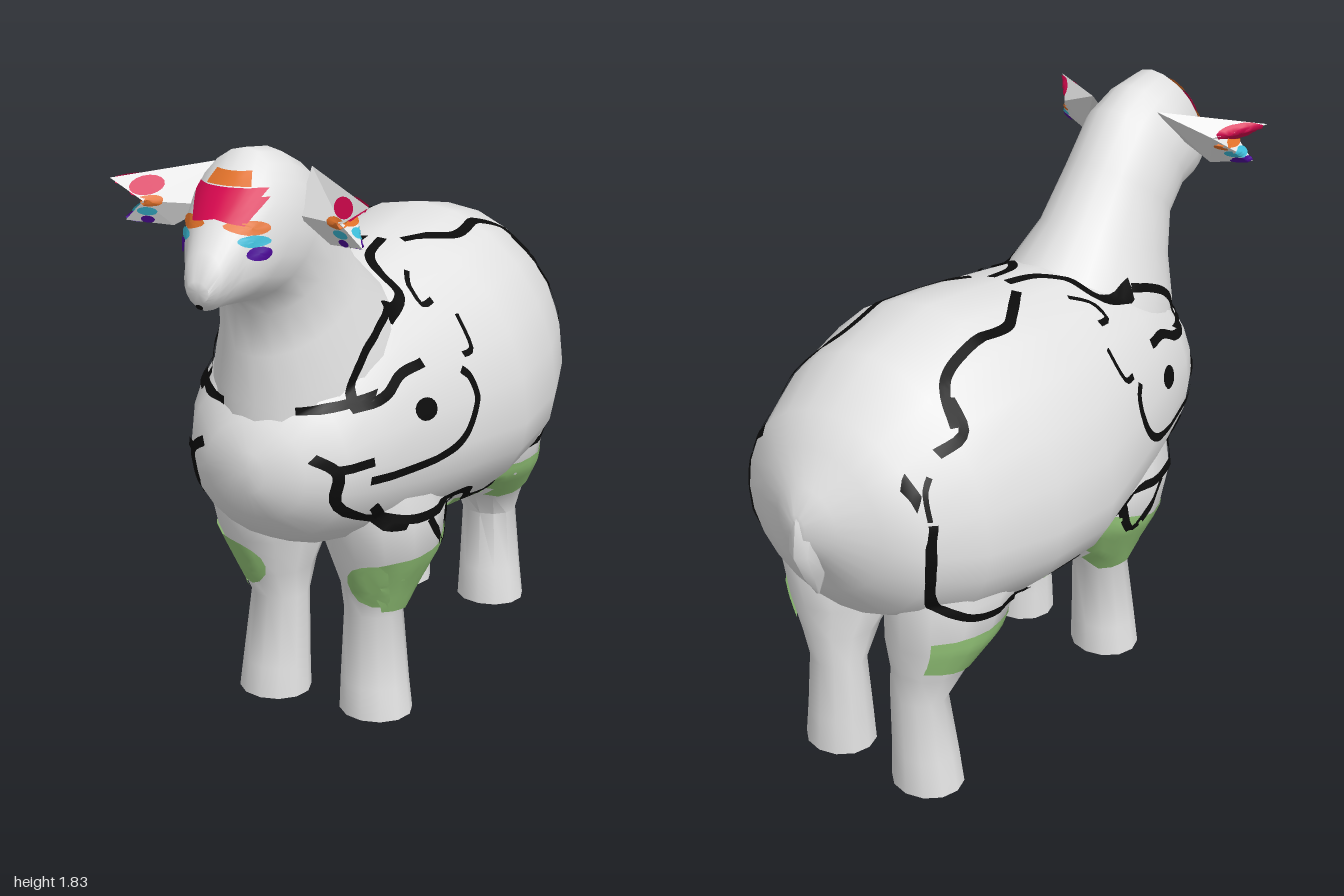
import * as THREE from 'three';
import { toCreasedNormals } from 'three/addons/utils/BufferGeometryUtils.js';

const paint = (name, color, double = true) => {
  const m = new THREE.MeshStandardMaterial({ color });
  m.name = name;
  if (double) m.side = THREE.DoubleSide;
  return m;
};

// Skin through oval rings, swept upward or forward.
// Ring: [z, y of top/back point, z, y of bottom/front point, half width, widest fraction from bottom]
function loft(rings, cx = 0, sides = 18) {
  const pos = [], idx = [];
  const first = rings[0], last = rings[rings.length - 1];
  const all = [[...first], ...rings, [...last]];
  for (const end of [all[0], all[all.length - 1]]) {
    const z = (end[0] + end[2]) / 2, y = (end[1] + end[3]) / 2;
    end.splice(0, 5, z, y, z, y, 0);
  }
  all.forEach(([zt, yt, zb, yb, w, m = 0.5, x = cx]) => {
    const zm = zb + (zt - zb) * m, ym = yb + (yt - yb) * m;
    for (let j = 0; j < sides; j++) {
      const a = (j / sides) * Math.PI * 2, s = Math.sin(a), k = Math.abs(s);
      pos.push(x + w * Math.cos(a),
        ym + ((s > 0 ? yt : yb) - ym) * k, zm + ((s > 0 ? zt : zb) - zm) * k);
    }
  });
  for (let i = 0; i < all.length - 1; i++) for (let j = 0; j < sides; j++) {
    const a = i * sides + j, b = i * sides + (j + 1) % sides;
    if (i > 0) idx.push(a, b, a + sides);
    if (i < all.length - 2) idx.push(b, b + sides, a + sides);
  }
  const g = new THREE.BufferGeometry();
  g.setAttribute('position', new THREE.Float32BufferAttribute(pos, 3));
  g.setIndex(idx);
  return toCreasedNormals(g, 0.9);
}

export function createModel() {
  const group = new THREE.Group();
  group.name = 'sheep';
  const wool = paint('wool', 0xe4e4e4, false), earSkin = paint('earSkin', 0xe4e4e4);
  const black = paint('blackLine', 0x0c0c0c), green = paint('green', 0x96c87a);
  const crimson = paint('crimson', 0xd8084f), orange = paint('orange', 0xe2722a);
  const cyan = paint('cyan', 0x3cbcd8), purple = paint('purple', 0x4e0a9a);
  const add = (name, geo, mat) => {
    const mesh = new THREE.Mesh(geo, mat);
    mesh.name = name;
    group.add(mesh);
    return mesh;
  };

  // Body: z, top, bottom, half width, height of widest point
  const body = add('body', loft([
    [-0.98, 1.02, 0.93, 0.03, 0.98], [-0.94, 1.09, 0.86, 0.11, 0.98],
    [-0.88, 1.18, 0.74, 0.225, 0.95],
    [-0.82, 1.265, 0.64, 0.335, 0.92], [-0.65, 1.375, 0.54, 0.415, 0.88],
    [-0.4, 1.435, 0.51, 0.485, 0.86], [-0.15, 1.405, 0.5, 0.487, 0.84],
    [0.1, 1.37, 0.53, 0.43, 0.86], [0.3, 1.34, 0.56, 0.38, 0.88],
    [0.5, 1.26, 0.61, 0.32, 0.9], [0.62, 1.17, 0.67, 0.255, 0.9],
    [0.7, 1.05, 0.76, 0.16, 0.9], [0.74, 0.97, 0.85, 0.05, 0.91],
  ].map(([z, t, b, w, m]) => [z, t, z, b, w, (m - b) / (t - b)]), 0, 24), wool);

  // Neck and head in one sweep from the shoulders to the muzzle
  const head = add('neckAndHead', loft([
    [-0.05, 1.18, 0.7, 0.98, 0.27], [0.13, 1.36, 0.7, 1.1, 0.24],
    [0.25, 1.46, 0.705, 1.24, 0.19], [0.385, 1.62, 0.71, 1.36, 0.168],
    [0.5, 1.76, 0.77, 1.42, 0.165], [0.6, 1.81, 0.87, 1.435, 0.152],
    [0.72, 1.83, 0.92, 1.44, 0.13, 0.55], [0.79, 1.785, 0.94, 1.44, 0.1, 0.55],
    [0.88, 1.68, 0.955, 1.44, 0.077, 0.55], [0.95, 1.6, 0.975, 1.455, 0.056],
    [0.995, 1.53, 0.985, 1.47, 0.032],
  ], 0, 20), wool);

  // Tail, hanging from the rump
  add('tail', loft([
    [-0.915, 0.73, -0.905, 0.73, 0.006], [-0.96, 0.8, -0.87, 0.83, 0.035],
    [-1.0, 0.89, -0.86, 0.9, 0.05], [-0.985, 1.0, -0.84, 0.98, 0.06],
    [-0.9, 1.14, -0.82, 1.1, 0.05],
  ], 0, 8), wool);

  // Legs: height, back z, front z, half width, centre x
  const leg = (rows, s) => loft(rows.map(([y, b, f, w, x]) => [b, y, f, y, w, 0.5, s * x]), 0, 12);
  const frontRows = [[0, 0.17, 0.38, 0.115, 0.175], [0.1, 0.175, 0.37, 0.108, 0.17],
    [0.33, 0.175, 0.345, 0.092, 0.16], [0.42, 0.11, 0.385, 0.115, 0.175],
    [0.55, 0.04, 0.44, 0.17, 0.185], [0.68, 0.02, 0.49, 0.17, 0.195], [0.82, 0.05, 0.5, 0.14, 0.18]];
  const hindRows = [[0, -0.76, -0.55, 0.115, 0.175], [0.12, -0.755, -0.56, 0.105, 0.17],
    [0.32, -0.75, -0.585, 0.092, 0.16], [0.42, -0.76, -0.5, 0.115, 0.175],
    [0.53, -0.775, -0.38, 0.165, 0.185], [0.68, -0.79, -0.31, 0.18, 0.2], [0.85, -0.77, -0.35, 0.15, 0.19]];
  const skins = [body, head];
  for (const [side, s] of [['left', 1], ['right', -1]]) {
    skins.push(add(side + 'FrontLeg', leg(frontRows, s), wool));
    skins.push(add(side + 'HindLeg', leg(hindRows, s), wool));
    // Ear cup: 0 upper root, 1 lower root, 2 upper tip, 3 lower tip, 4 lower edge, 5 notch, 6 back ridge
    const p = [[0.12, 1.76, 0.57], [0.13, 1.65, 0.68], [0.39, 1.72, 0.78],
      [0.36, 1.6, 0.755], [0.24, 1.585, 0.7], [0.3, 1.66, 0.76], [0.28, 1.69, 0.64]];
    const ear = new THREE.BufferGeometry().setFromPoints(
      [0, 5, 2, 0, 1, 5, 1, 4, 5, 4, 3, 5, 0, 2, 6, 6, 2, 5, 6, 5, 3, 6, 3, 4, 0, 6, 4, 0, 4, 1]
        .map(i => new THREE.Vector3(s * p[i][0], p[i][1], p[i][2])));
    ear.computeVertexNormals();
    skins.push(add(side + 'Ear', ear, earSkin));
  }
  group.updateMatrixWorld(true);

  // Drop a flat point onto the skin along a view direction
  const ray = new THREE.Raycaster();
  const project = (a, b, dir, s) => {
    const [o, d] = {
      side: [[s * 2, b, a], [-s, 0, 0]], front: [[s * a, b, 2], [0, 0, -1]],
      back: [[s * a, b, -2], [0, 0, 1]],
      top: [[s * a, 2, b], [0, -1, 0]], under: [[s * a, -1, b], [0, 1, 0]],
    }[dir];
    const v = new THREE.Vector3(...d);
    ray.set(new THREE.Vector3(...o), v);
    const hit = ray.intersectObjects(skins, false)[0];
    if (!hit) return null;
    const n = hit.face.normal.clone();
    if (n.dot(v) > 0) n.negate();
    return hit.point.addScaledVector(n, 0.005).addScaledVector(v, -0.002);
  };

  // Thin painted strip between two edges, on one or both sides
  function strip(name, mat, A, B, dir, across = 2, sides = [1, -1]) {
    for (const s of sides) {
      const pts = [], idx = [], k = across + 1, grid = [];
      A.forEach((a, i) => {
        for (let j = 0; j <= across; j++) {
          const t = j / across, q = project(a.x + (B[i].x - a.x) * t, a.y + (B[i].y - a.y) * t, dir, s);
          grid.push(q);
          pts.push(q || new THREE.Vector3());
        }
      });
      const tri = (...t) => {
        if (t.every(i => grid[i]) && t.every((i, n) => grid[i].distanceTo(grid[t[(n + 1) % 3]]) < 0.14)) idx.push(...t);
      };
      for (let i = 0; i < A.length - 1; i++) for (let j = 0; j < across; j++) {
        const a = i * k + j;
        tri(a, a + 1, a + k);
        tri(a + 1, a + k + 1, a + k);
      }
      if (!idx.length) continue;
      const g = new THREE.BufferGeometry().setFromPoints(pts);
      g.setIndex(idx);
      g.computeVertexNormals();
      add(name, g, mat);
    }
  }
  const vec = list => list.map(([x, y]) => new THREE.Vector2(x, y));
  const line = (dir, list, width = 0.026) => {
    const c = new THREE.SplineCurve(vec(list)), A = [], B = [];
    const n = Math.max(8, Math.ceil(c.getLength() / 0.02));
    for (let i = 0; i <= n; i++) {
      const p = c.getPoint(i / n), t = c.getTangent(i / n), o = new THREE.Vector2(-t.y, t.x).multiplyScalar(width / 2);
      A.push(p.clone().add(o));
      B.push(p.clone().sub(o));
    }
    strip('paintedLine', black, A, B, dir);
  };
  const blob = (name, mat, dir, x, y, rx, ry, sides) => {
    const A = [], B = [];
    for (let i = 0; i <= 16; i++) {
      const a = i / 16 * Math.PI * 2;
      A.push(new THREE.Vector2(x, y));
      B.push(new THREE.Vector2(x + rx * Math.cos(a), y + ry * Math.sin(a)));
    }
    strip(name, mat, A, B, dir, Math.max(3, Math.ceil(Math.max(rx, ry) / 0.02)), sides);
  };
  const band = (name, mat, dir, a, b, across, sides) => {
    const dense = l => vec(l).flatMap((p, i, arr) => i === arr.length - 1 ? [p]
      : [0, 1, 2, 3, 4, 5].map(t => p.clone().lerp(arr[i + 1], t / 6)));
    strip(name, mat, dense(a), dense(b), dir, across, sides);
  };

  // Flank drawing, as z and y
  line('side', [[0.555, 1.09], [0.53, 1.155], [0.48, 1.215], [0.4, 1.26], [0.31, 1.29]]);
  line('side', [[0.57, 1.078], [0.46, 1.09], [0.37, 1.13], [0.275, 1.14]]);
  line('side', [[0.555, 0.87], [0.3, 0.865], [0.17, 0.895], [0.1, 0.98], [0.1, 1.05], [0.13, 1.085]]);
  line('side', [[0.65, 0.92], [0.545, 0.925]]);
  line('side', [[0.035, 1.22], [0.05, 1.13], [0.1, 1.12]], 0.016);
  line('side', [[0.52, 0.78], [0.44, 0.715], [0.31, 0.685], [0.115, 0.69], [0.045, 0.675], [-0.02, 0.625], [-0.18, 0.605], [-0.37, 0.585],
    [-0.475, 0.63], [-0.625, 0.645], [-0.74, 0.71], [-0.8, 0.81], [-0.81, 0.94], [-0.795, 1.02]]);
  line('side', [[-0.8, 1.03], [-0.79, 1.1], [-0.76, 1.14]], 0.014);
  line('side', [[0.3, 0.675], [0.235, 0.595], [0.16, 0.545], [0.115, 0.675]]);
  line('side', [[-0.6, 1.3], [-0.625, 1.225], [-0.715, 1.19]]);
  line('side', [[-0.37, 0.58], [-0.42, 0.63]], 0.035);
  blob('spot', black, 'side', 0.325, 1.02, 0.045, 0.032);
  // Back drawing, as x and z
  line('top', [[0.29, -0.64], [0.23, -0.61], [0.195, -0.55], [0.185, -0.45], [0.19, -0.29], [0.155, -0.21], [0.085, -0.095]], 0.03);
  line('top', [[0.03, -0.07], [0.045, 0.05], [0.11, 0.13], [0.2, 0.175], [0.215, 0.31]], 0.03);
  line('top', [[0.165, 0.05], [0.2, 0.11], [0.25, 0.13], [0.26, 0.08]], 0.016);
  line('top', [[0.25, -0.82], [0.3, -0.81]], 0.022);
  // Chest drawing, as x and y
  line('front', [[0.17, 0.96], [0.23, 0.91], [0.22, 0.815], [0.28, 0.7], [0.33, 0.68]], 0.028);
  line('front', [[0.11, 1.085], [0.21, 1.09], [0.27, 1.1]]);

  // Green thighs and belly
  band('greenBand', green, 'side',
    [[0.44, 0.55], [0.27, 0.56], [0.1, 0.61], [0, 0.59], [-0.3, 0.575], [-0.42, 0.575], [-0.75, 0.58]],
    [[0.34, 0.36], [0.18, 0.34], [0.1, 0.43], [0, 0.53], [-0.3, 0.515], [-0.53, 0.42], [-0.745, 0.46]], 8);
  blob('greenFrontPatch', green, 'front', 0.24, 0.46, 0.1, 0.085);
  band('greenBelly', green, 'under', [[-0.34, 0.08], [0, 0.06], [0.34, 0.08]], [[-0.34, -0.3], [0, -0.26], [0.34, -0.3]], 10, [1]);

  // Face paint
  band('crimsonBrow', crimson, 'front', [[-0.12, 1.742], [0, 1.742], [0.12, 1.742]], [[-0.075, 1.655], [0, 1.67], [0.075, 1.655]], 4, [1]);
  band('orangeForehead', orange, 'front', [[-0.05, 1.78], [0.05, 1.78]], [[-0.065, 1.745], [0.065, 1.745]], 3, [1]);
  blob('orangeCheek', orange, 'side', 0.86, 1.65, 0.04, 0.018);
  blob('cyanCheek', cyan, 'side', 0.865, 1.617, 0.036, 0.015);
  blob('purpleCheek', purple, 'side', 0.86, 1.585, 0.032, 0.018);
  blob('mouth', black, 'front', 0, 1.462, 0.01, 0.008, [1]);
  // Ear paint on the inside, the outer edge and the back
  for (const [dir, x, k] of [['front', 0.3, 1], ['side', 0.735, 1.1], ['back', 0.325, 1]]) {
    blob('crimsonEar', crimson, dir, x, 1.698, 0.04 * k, 0.025 * k);
    blob('orangeEar', orange, dir, x - 0.015, 1.66, 0.035 * k, 0.013);
    blob('cyanEar', cyan, dir, x - 0.005, 1.632, 0.026, 0.013);
    blob('purpleEar', purple, dir, x, 1.607, 0.018, 0.011);
  }
  return group;
}
